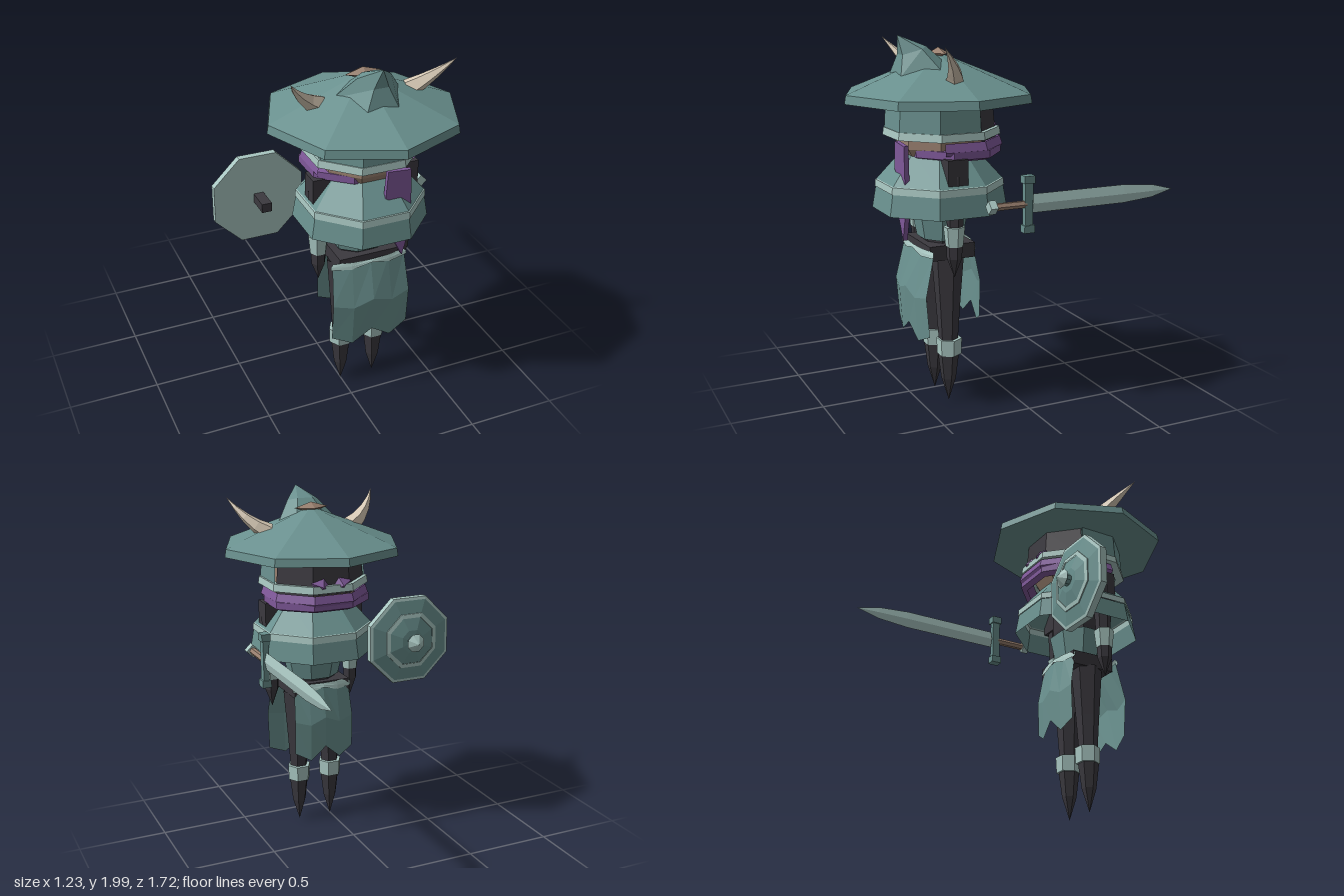
import * as THREE from 'three';

const mat = (name, color) => Object.assign(
  new THREE.MeshStandardMaterial({ color, flatShading: true, side: THREE.DoubleSide }), { name });

export function createModel() {
  const teal = mat('teal cloth', 0x6a918f), light = mat('pale trim', 0xa9c7c2);
  const black = mat('dark body', 0x3b393f), purple = mat('purple scarf', 0x80599a);
  const brown = mat('brown skin', 0x99806f), bone = mat('horn bone', 0xd8cab6);

  // the figure stands off centre because of the shield and sword
  const root = new THREE.Group(), body = new THREE.Group();
  root.name = 'warrior';
  body.name = 'figure';
  body.position.set(0.1, 0, 0.345);
  root.add(body);

  const add = (parent, name, geo, material, x = 0, y = 0, z = 0) => {
    const m = new THREE.Mesh(geo, material);
    m.name = name;
    m.position.set(x, y, z);
    parent.add(m);
    return m;
  };
  // faceted turned shape; profile is [radius, height] from bottom to top, flat side forward
  const turned = (profile, n = 8, start = Math.PI / n, length = Math.PI * 2, segs = n) =>
    new THREE.LatheGeometry(profile.map(p => new THREE.Vector2(...p)), segs, start, length);
  const box = (w, h, d) => new THREE.BoxGeometry(w, h, d);

  // hat: wide brimmed cone with a corner forward
  add(body, 'hat', turned([[0, 1.66], [0.515, 1.66], [0.507, 1.705], [0, 1.907]], 8, 0), teal);

  // forward-leaning peak: two hexagonal rings and a tip
  const half = (f, s, b) => [f, s, b, [-b[0], b[1], b[2]], [-s[0], s[1], s[2]], [-f[0], f[1], f[2]]];
  const pts = [
    ...half([0.085, 1.795, 0.24], [0.185, 1.81, 0.045], [0.09, 1.85, -0.01]),
    ...half([0.04, 1.9, 0.212], [0.092, 1.93, 0.125], [0.045, 1.942, 0.085]),
    [0, 2, 0.226]];
  const faces = [];
  for (let i = 0; i < 6; i++) {
    const j = (i + 1) % 6;
    faces.push(i, j, 6 + j, i, 6 + j, 6 + i, 6 + i, 6 + j, 12);
  }
  const peak = new THREE.BufferGeometry();
  peak.setAttribute('position', new THREE.Float32BufferAttribute(pts.flat(), 3));
  peak.setIndex(faces);
  peak.computeVertexNormals();
  add(body, 'hatPeak', peak, teal);
  add(body, 'hatPatch', new THREE.OctahedronGeometry(1), brown, 0, 1.902, 0)
    .scale.set(0.1, 0.03, 0.055);

  // horns: tapered tubes
  for (const s of [-1, 1]) {
    const curve = new THREE.QuadraticBezierCurve3(
      new THREE.Vector3(s * 0.25, 1.775, 0.015), new THREE.Vector3(s * 0.37, 1.84, 0.05),
      new THREE.Vector3(s * 0.445, 1.965, 0.15));
    const geo = new THREE.TubeGeometry(curve, 4, 0.055, 5), p = geo.attributes.position;
    const v = new THREE.Vector3();
    for (let k = 0; k < p.count; k++) {
      const t = Math.floor(k / 6) / 4;
      v.fromBufferAttribute(p, k).lerp(curve.getPointAt(t), t);
      p.setXYZ(k, v.x, v.y, v.z);
    }
    geo.computeVertexNormals();
    add(body, s > 0 ? 'leftHorn' : 'rightHorn', geo, bone);
  }

  // head: helmet open at the back, dark hair, trim band and face
  const helmet = [[0.296, 1.5], [0.285, 1.67]], step = Math.PI / 4;
  add(body, 'helmet', turned(helmet, 8, -2.5 * step, 5 * step, 5), teal, 0, 0, -0.008);
  add(body, 'hair', turned([[0.29, 1.46], [0.27, 1.67]], 8, 2.5 * step, 3 * step, 3), black, 0, 0, -0.012);
  add(body, 'helmetBand', turned([[0.26, 1.475], [0.312, 1.475], [0.306, 1.515], [0.27, 1.515]]), light, 0, 0, -0.015);
  add(body, 'face', turned([[0.2, 1.36], [0.235, 1.42], [0.235, 1.6]]), brown, 0, 0, -0.01);

  // scarf: ring, raised back, knot and front tail
  add(body, 'scarf', turned([[0.25, 1.365], [0.29, 1.38], [0.29, 1.42], [0.22, 1.425]]), purple, 0, 0, -0.065)
    .scale.set(1.05, 1, 0.9);
  add(body, 'scarfWrap', turned([[0.29, 1.4], [0.305, 1.42], [0.29, 1.465]], 8, 1.5 * step, 5 * step, 5), purple, 0, 0, -0.035);
  for (const s of [-1, 1]) {
    const bow = add(body, 'scarfBow', new THREE.OctahedronGeometry(1), purple, s * 0.06, 1.51, -0.275);
    bow.scale.set(0.065, 0.045, 0.035);
    bow.rotation.z = s * 0.35;
  }
  const tail = new THREE.Shape([[0.03, 1.46], [0.16, 1.45], [0.165, 1.28], [0.16, 1.08], [0.125, 0.95],
    [0.09, 1.02], [0.05, 1.09], [0.09, 1.26], [0.02, 1.31]].map(p => new THREE.Vector2(...p)));
  add(body, 'scarfTail', new THREE.ExtrudeGeometry(tail, { depth: 0.025, bevelEnabled: false }), purple, 0, 0, 0.235);

  // cape with pale band
  add(body, 'capeTop', turned([[0.19, 1.4], [0.335, 1.24]].reverse()), teal);
  add(body, 'capeBand', turned([[0.345, 1.2], [0.341, 1.237], [0.33, 1.24]]), light);
  add(body, 'capeSkirt', turned([[0.36, 1.085], [0.34, 1.2]]), teal);

  // torso and hips
  add(body, 'chest', turned([[0.13, 0.9], [0.17, 1.1], [0.17, 1.39]]), black).scale.z = 0.75;
  add(body, 'jacket', turned([[0.15, 0.925], [0.185, 1.07]]), teal).scale.z = 0.8;
  add(body, 'hips', box(0.34, 0.08, 0.26), black, 0, 0.87, 0);

  // hanging cloth: five columns with a two-pointed hem, bowed outward
  const drape = (name, material, dir, top, hem, width, zs) => {
    const geo = new THREE.PlaneGeometry(2, 1, 4, 2), p = geo.attributes.position;
    for (let k = 0; k < p.count; k++) {
      const u = p.getX(k), t = 0.5 - p.getY(k), row = Math.floor(k / 5), col = k % 5;
      p.setXYZ(k, u * width * (0.94 + 0.06 * Math.min(1, t * 2)), top + (hem[col] - top) * t,
        dir * (zs[row] - 0.03 * u * u));
    }
    geo.computeVertexNormals();
    add(body, name, geo, material);
  };
  drape('frontPanel', teal, 1, 0.87, [0.435, 0.385, 0.46, 0.385, 0.435], 0.225, [0.155, 0.205, 0.188]);
  drape('frontTrim', light, 1, 0.89, [0.86, 0.852, 0.876, 0.852, 0.86], 0.222, [0.154, 0.16, 0.164]);
  drape('backPanel', teal, -1, 0.89, [0.5, 0.45, 0.53, 0.45, 0.5], 0.18, [0.15, 0.185, 0.18]);
  drape('backTrim', light, -1, 0.91, [0.87, 0.862, 0.886, 0.862, 0.87], 0.18, [0.149, 0.155, 0.16]);

  // arms and legs
  for (const s of [-1, 1]) {
    const side = s > 0 ? 'left' : 'right';
    add(body, side + 'Shoulder', box(0.16, 0.18, 0.11), black, s * 0.22, 1.295, 0.02);
    add(body, side + 'Arm', turned([[0.04, 0.98], [0.055, 1.3]], 6), black, s * 0.25, 0, 0.02);
    add(body, side + 'Cuff', turned([[0.03, 0.925], [0.046, 0.925], [0.057, 1.03], [0.03, 1.03]], 6), light, s * 0.25, 0, 0.025);
    add(body, side + 'Hand', turned([[0, 0.755], [0.04, 0.86], [0.043, 0.94]], 6), black, s * 0.25, 0, 0.025);
    add(body, side + 'Leg', turned([[0.052, 0.36], [0.065, 0.55], [0.088, 0.84]], 6), black, s * 0.1, 0, 0);
    add(body, side + 'Anklet', turned([[0.04, 0.28], [0.066, 0.28], [0.07, 0.37], [0.04, 0.37]], 6), light, s * 0.1, 0, -0.005);
    add(body, side + 'Foot', turned([[0, 0.01], [0.04, 0.14], [0.058, 0.285]], 6), black, s * 0.1, 0, 0);
  }

  // shield: octagonal rings facing backward
  const shield = new THREE.Group();
  shield.name = 'shield';
  shield.position.set(-0.372, 1.153, 0);
  shield.rotation.x = -Math.PI / 2;
  root.add(shield);
  add(shield, 'shieldRim', turned([[0, -0.075], [0.268, -0.075], [0.268, -0.037], [0.25, -0.033]]), light);
  add(shield, 'shieldOuter', turned([[0.25, -0.033], [0.17, -0.018]]), teal);
  add(shield, 'shieldRing', turned([[0.17, -0.018], [0.17, -0.012], [0.145, -0.008]]), light);
  add(shield, 'shieldInner', turned([[0.145, -0.012], [0.07, 0.006], [0, 0.01]]), teal);
  add(shield, 'bossStem', turned([[0.035, 0], [0.03, 0.045]]), teal);
  add(shield, 'bossCap', turned([[0, 0.045], [0.055, 0.045], [0, 0.082]]), light);
  add(root, 'shieldGrip', box(0.055, 0.05, 0.13), black, -0.372, 1.153, 0.137);

  // sword pointing backward
  const sword = new THREE.Group();
  sword.name = 'sword';
  sword.position.set(0.515, 1.15, 0);
  sword.rotation.x = -Math.PI / 2;
  root.add(sword);
  const blade = turned([[0.05, 0], [0.05, 0.55], [0.035, 0.73], [0, 0.862]], 4, 0);
  add(sword, 'blade', blade, light).scale.x = 0.24;
  add(sword, 'guard', box(0.032, 0.045, 0.26), teal, 0, -0.028, 0);
  for (const s of [-1, 1]) add(sword, 'guardEnd', box(0.05, 0.06, 0.04), teal, 0, -0.028, s * 0.13);
  add(sword, 'grip', turned([[0.02, -0.215], [0.02, -0.04]], 6), brown);
  add(sword, 'pommel', turned([[0, -0.252], [0.037, -0.252], [0.037, -0.212], [0, -0.212]], 4, 0), light);

  return root;
}
